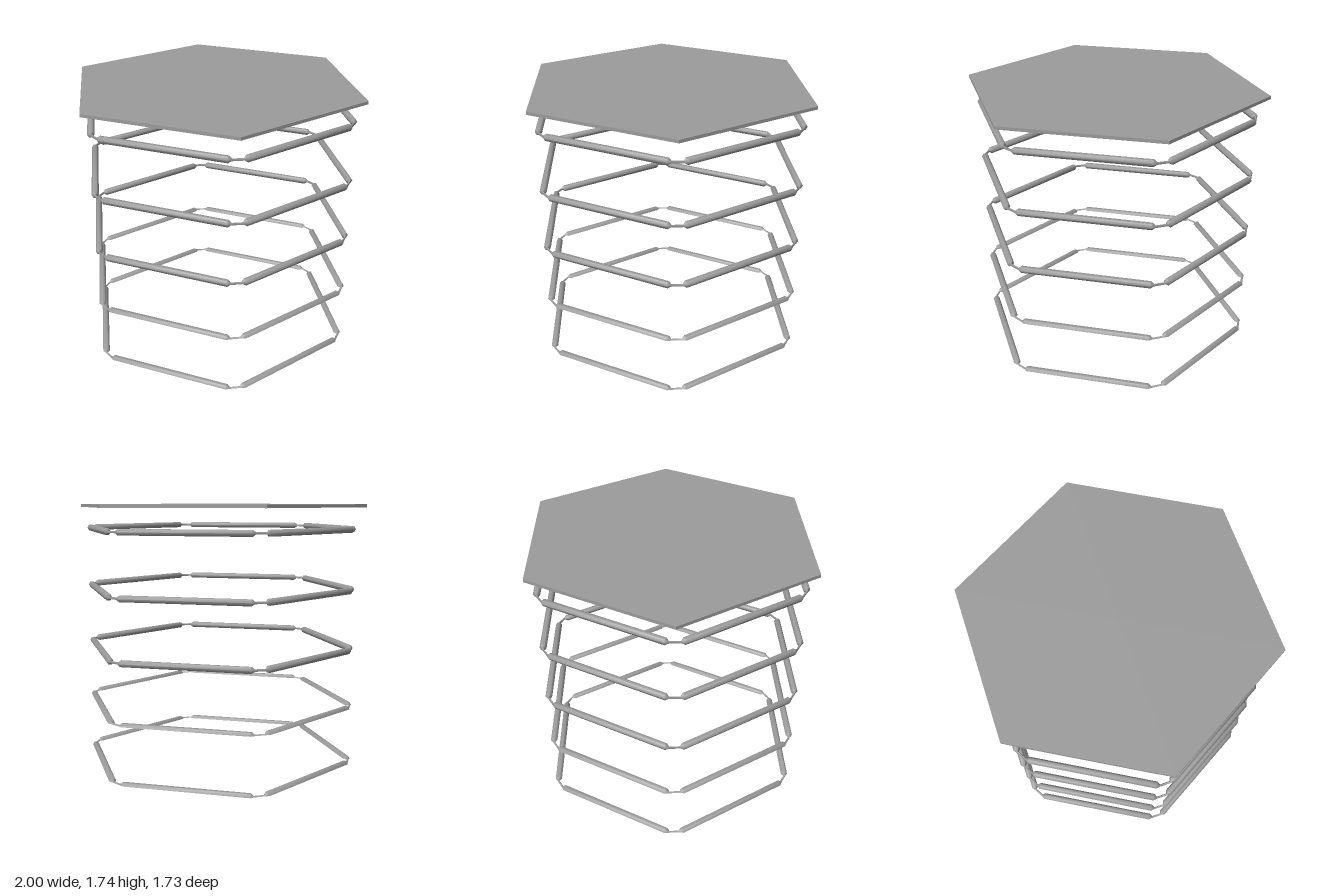
import * as THREE from 'three';
import { toCreasedNormals } from 'three/addons/utils/BufferGeometryUtils.js';

const CORNER = 0.938;  // hexagon corner radius of the rings
const BAR_R = 0.0225;  // thick bar radius
const LINK_R = 0.008;  // thin corner link radius
const SIDES = 6;       // sides of the bar section

// Closed hexagonal sweep: thick bars with tapered ends, thin links across the corners.
// A half ring keeps only the upper half of the section, open underneath.
function hexRing(half) {
  const faces = half ? SIDES / 2 : SIDES;
  const count = faces + 1;
  const positions = [], indices = [];
  const corner = i => new THREE.Vector3(
    CORNER * Math.cos(i * Math.PI / 3), 0, CORNER * Math.sin(i * Math.PI / 3));
  const stations = [
    [0.042, LINK_R], [0.06, BAR_R],
    [CORNER - 0.06, BAR_R], [CORNER - 0.042, LINK_R],
  ];
  for (let i = 0; i < 6; i++) {
    const start = corner(i);
    const along = corner(i + 1).sub(start).normalize();
    const out = new THREE.Vector3(along.z, 0, -along.x);
    for (const [s, r] of stations) {
      const c = start.clone().addScaledVector(along, s);
      for (let k = 0; k < count; k++) {
        const a = (k % SIDES) * 2 * Math.PI / SIDES;
        const p = c.clone().addScaledVector(out, r * Math.cos(a));
        positions.push(p.x, r * Math.sin(a), p.z);
      }
    }
  }
  const rows = 6 * stations.length;
  for (let i = 0; i < rows; i++) {
    for (let k = 0; k < faces; k++) {
      const a = i * count + k;
      const c = ((i + 1) % rows) * count + k;
      indices.push(a, a + 1, c, a + 1, c + 1, c);
    }
  }
  const geometry = new THREE.BufferGeometry();
  geometry.setAttribute('position', new THREE.Float32BufferAttribute(positions, 3));
  geometry.setIndex(indices);
  return toCreasedNormals(geometry, 1.1);
}

export function createModel() {
  const model = new THREE.Group();
  model.name = 'hexagonalTower';
  const material = new THREE.MeshStandardMaterial({ color: 0x9b9b9b, side: THREE.DoubleSide });

  const add = (name, geometry, y) => {
    const mesh = new THREE.Mesh(geometry, material);
    mesh.name = name;
    mesh.position.y = y;
    model.add(mesh);
  };

  // Two half-pipe lower rings, three full upper rings
  const halfRing = hexRing(true);
  const fullRing = hexRing(false);
  [0, 0.383].forEach((y, i) => add('lowerRing' + (i + 1), halfRing, y));
  [0.78, 1.18, 1.58].forEach((y, i) => add('upperRing' + (i + 1), fullRing, y));

  // Hexagonal top plate with corners on the x axis
  const plate = new THREE.CylinderGeometry(1, 1, 0.02, 6);
  plate.rotateY(Math.PI / 2);
  add('topPlate', toCreasedNormals(plate, 0.3), 1.733);

  return model;
}
